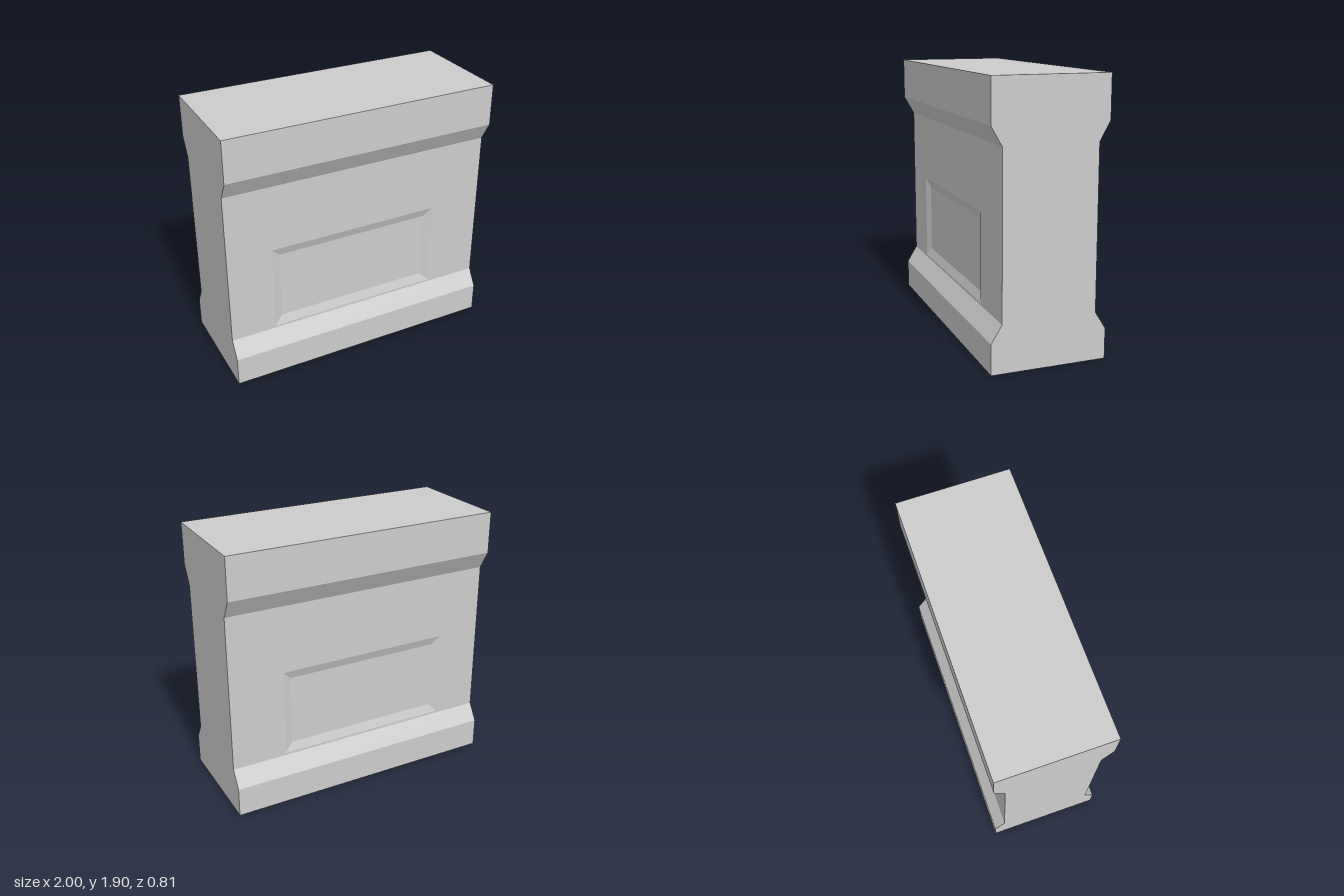
import * as THREE from 'three';

const HALF_W = 1, HEIGHT = 1.9;
// Front half of the side profile: [z, y] from the base up
const PROFILE = [[0.405, 0], [0.405, 0.212], [0.33, 0.333], [0.33, 1.468], [0.405, 1.6], [0.405, HEIGHT]];
const RECESS = 0.022;

// Flat-shaded geometry from counter-clockwise quads
function quads(list) {
  const pos = [];
  for (const [a, b, c, d] of list) pos.push(...a, ...b, ...c, ...a, ...c, ...d);
  const g = new THREE.BufferGeometry();
  g.setAttribute('position', new THREE.Float32BufferAttribute(pos, 3));
  g.computeVertexNormals();
  return g;
}

const rect = (x0, x1, y0, y1, z) => [[x0, y0, z], [x1, y0, z], [x1, y1, z], [x0, y1, z]];

// Four quads joining an outer rectangle to an inner one
const ring = (outer, inner) => outer.map((p, i) => {
  const j = (i + 1) % 4;
  return [p, outer[j], inner[j], inner[i]];
});

// One broad face: mouldings, wall and sunken bevelled panel
function createFace(name, x0, x1, material) {
  const face = new THREE.Group();
  face.name = name;
  const add = (part, list) => {
    const mesh = new THREE.Mesh(quads(list), material);
    mesh.name = part;
    face.add(mesh);
  };
  const band = (i) => {
    const [[z0, y0], [z1, y1]] = [PROFILE[i], PROFILE[i + 1]];
    return [[-HALF_W, y0, z0], [HALF_W, y0, z0], [HALF_W, y1, z1], [-HALF_W, y1, z1]];
  };
  const z = PROFILE[2][0], b = 0.063;
  const rim = rect(x0, x1, 0.35, 0.983, z);
  const floor = rect(x0 + b, x1 - b, 0.35 + b, 0.983 - b, z - RECESS);
  add('baseMoulding', [band(0), band(1)]);
  add('wall', ring(band(2), rim));
  add('panelBevel', ring(rim, floor));
  add('panelFloor', [floor]);
  add('topMoulding', [band(3), band(4)]);
  return face;
}

export function createModel() {
  const model = new THREE.Group();
  model.name = 'wallBlock';
  const stone = new THREE.MeshStandardMaterial({ color: 0xcccccc });
  stone.name = 'grey stone';

  // Front and back, with the panel at the same x on both
  const front = createFace('frontFace', -0.672, 0.604, stone);
  const back = createFace('backFace', -0.604, 0.672, stone);
  back.rotation.y = Math.PI;
  model.add(front, back);

  // Profiled ends
  const outline = [...PROFILE, ...PROFILE.map(([z, y]) => [-z, y]).reverse()];
  const endShape = new THREE.Shape(outline.map(([z, y]) => new THREE.Vector2(z, y)));
  for (const side of [1, -1]) {
    const end = new THREE.Mesh(new THREE.ShapeGeometry(endShape), stone);
    end.name = side > 0 ? 'leftEnd' : 'rightEnd';
    end.rotation.y = side * Math.PI / 2;
    end.position.x = side * HALF_W;
    model.add(end);
  }

  // Top and underside
  const depth = PROFILE[0][0] * 2;
  for (const side of [1, -1]) {
    const cap = new THREE.Mesh(new THREE.PlaneGeometry(HALF_W * 2, depth), stone);
    cap.name = side > 0 ? 'top' : 'underside';
    cap.rotation.x = -side * Math.PI / 2;
    cap.position.y = side > 0 ? HEIGHT : 0;
    model.add(cap);
  }
  return model;
}
